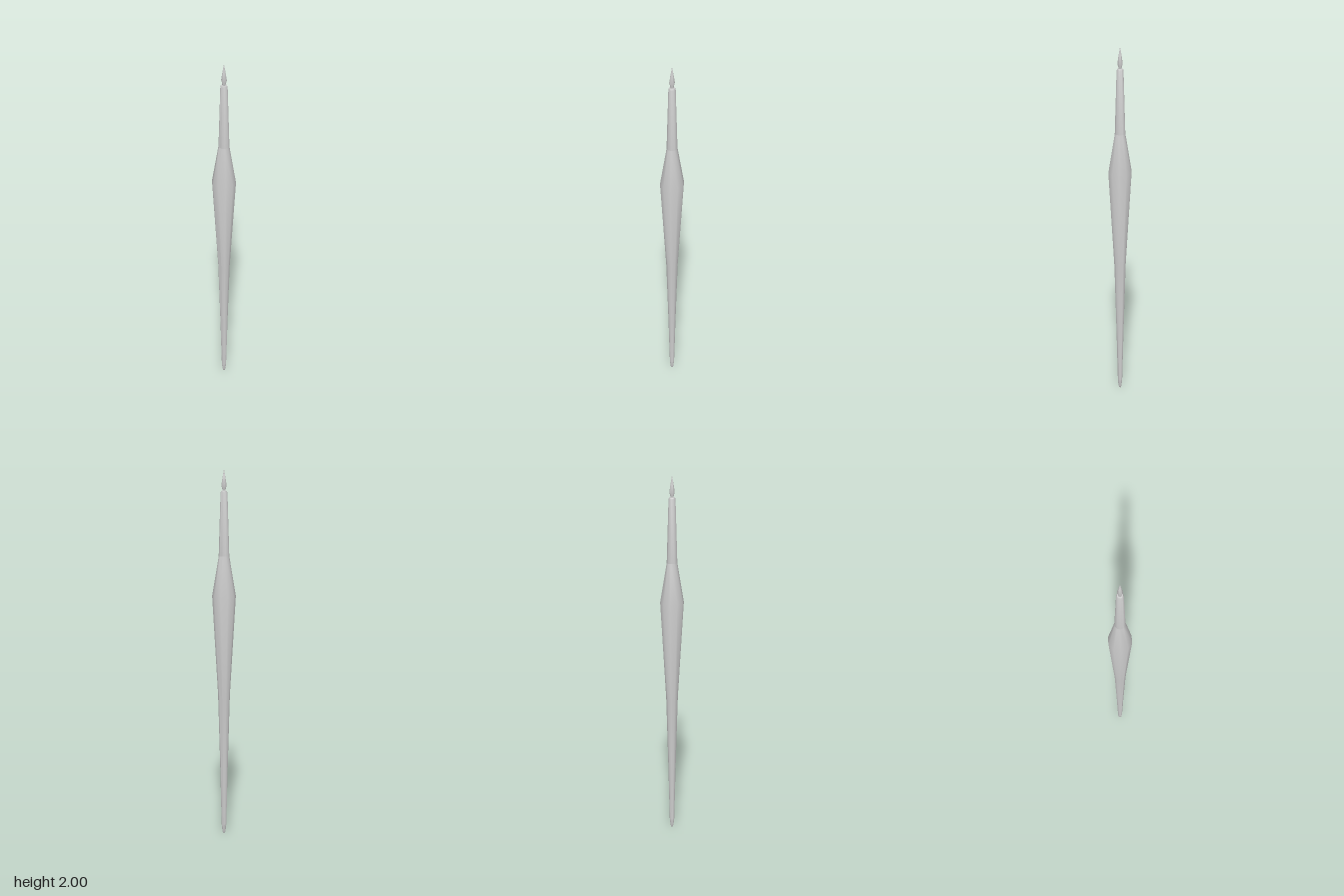
import * as THREE from 'three';
import { toCreasedNormals } from 'three/addons/utils/BufferGeometryUtils.js';

const SIDES = 10;

// Ten-sided turned part from [radius, height] pairs, bottom to top
function turned(name, profile, material) {
  const points = profile.map(([r, y]) => new THREE.Vector2(r, y));
  const lathe = new THREE.LatheGeometry(points, SIDES, Math.PI / 2);
  const mesh = new THREE.Mesh(toCreasedNormals(lathe, 0.75), material);
  mesh.name = name;
  return mesh;
}

export function createModel() {
  const group = new THREE.Group();
  group.name = 'taperedBrush';
  const material = new THREE.MeshStandardMaterial({ color: 0xcccccc });

  // Long handle, swelling to a grip and narrowing to the collar
  group.add(turned('handle', [
    [0.013, 0.055], [0.021, 0.4], [0.032, 0.8],
    [0.063, 1.34], [0.028, 1.55],
  ], material));

  // Slim collar with a rounded rim
  group.add(turned('collar', [
    [0.028, 1.55], [0.018, 1.88], [0.015, 1.888], [0, 1.89],
  ], material));

  // Rounded butt end
  group.add(turned('endCap', [
    [0, 0], [0.006, 0.006], [0.009, 0.018], [0.013, 0.055],
  ], material));

  // Pointed tip, pinched at its base
  group.add(turned('tip', [
    [0.008, 1.885], [0.009, 1.897], [0.014, 1.915], [0.008, 1.955], [0, 2],
  ], material));

  return group;
}
